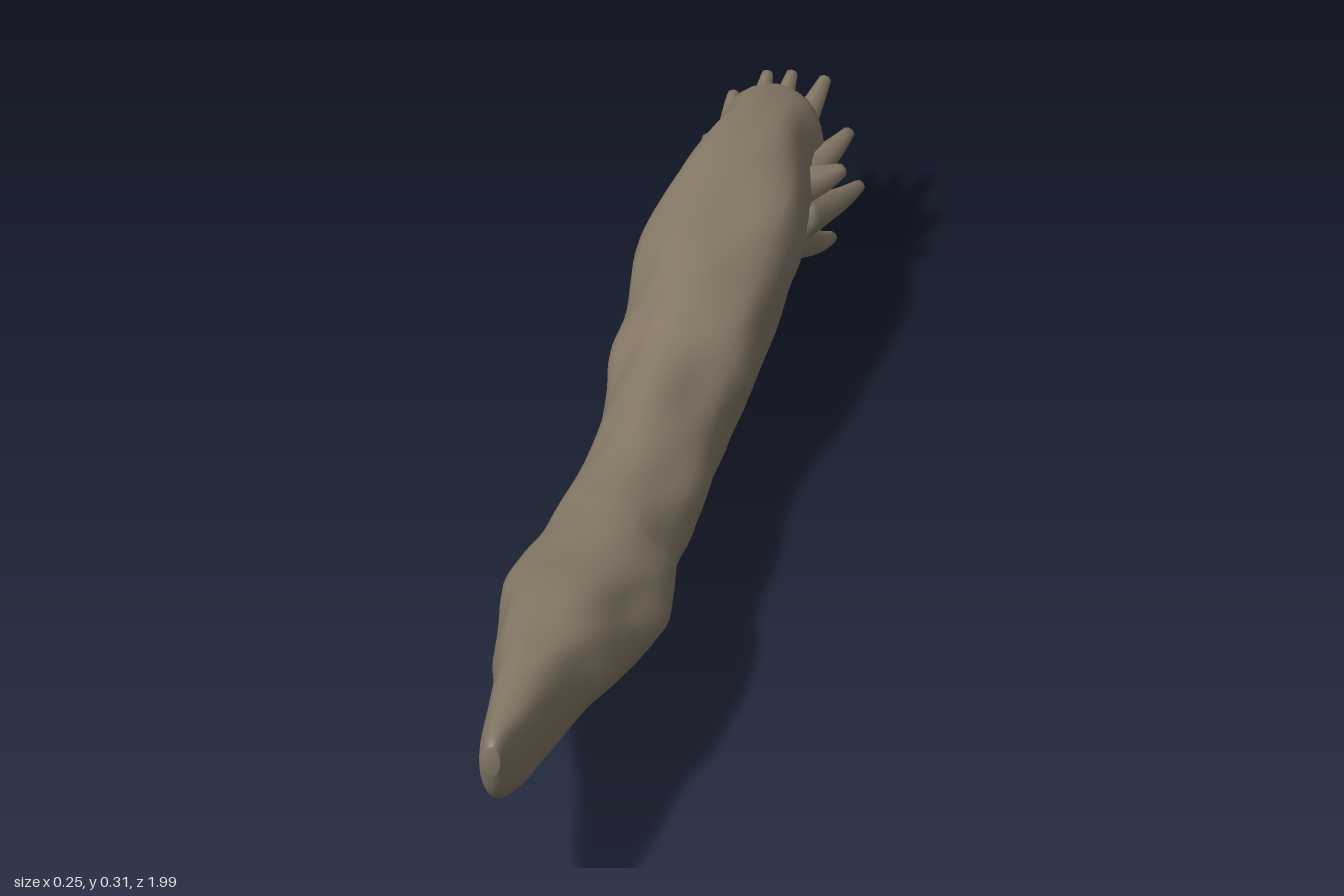
import * as THREE from 'three';

// Trunk stations: z, top, bottom, right side x, left side x, backward lean of the top edge
const STATIONS = [
  [1.0, 0.305, 0.262, -0.012, 0.012, 0],
  [0.975, 0.315, 0.21, -0.022, 0.022, 0],
  [0.9, 0.312, 0.175, -0.037, 0.037, 0],
  [0.8, 0.306, 0.153, -0.05, 0.05, 0],
  [0.7, 0.302, 0.14, -0.062, 0.064, 0],
  [0.6, 0.294, 0.13, -0.085, 0.09, 0],
  [0.5, 0.28, 0.112, -0.104, 0.105, 0],
  [0.4, 0.265, 0.095, -0.115, 0.115, 0],
  [0.3, 0.25, 0.083, -0.112, 0.112, 0],
  [0.2, 0.238, 0.073, -0.092, 0.097, 0],
  [0.0, 0.225, 0.05, -0.087, 0.09, 0],
  [-0.2, 0.235, 0.06, -0.092, 0.085, 0],
  [-0.3, 0.253, 0.076, -0.108, 0.1, 0],
  [-0.4, 0.268, 0.092, -0.103, 0.102, 0],
  [-0.5, 0.28, 0.105, -0.113, 0.103, 0],
  [-0.6, 0.286, 0.11, -0.12, 0.102, 0.01],
  [-0.7, 0.288, 0.1, -0.1, 0.088, 0.03],
  [-0.77, 0.288, 0.075, -0.078, 0.074, 0.055],
  [-0.83, 0.275, 0.058, -0.085, 0.083, 0.06],
  [-0.845, 0.255, 0.075, -0.07, 0.07, 0.055],
  [-0.825, 0.225, 0.11, -0.04, 0.04, 0.03],
];

// Root tips: x, y, z, base thickness
const ROOTS = [
  [-0.09, 0.03, -0.85, 0.026],
  [-0.045, 0.02, -0.93, 0.024],
  [-0.01, 0.008, -0.87, 0.028],
  [0.035, 0.032, -0.95, 0.024],
  [0.075, 0.026, -0.9, 0.026],
  [0.092, 0.075, -0.95, 0.024],
  [0.115, 0.115, -0.9, 0.026],
  [0.112, 0.195, -0.81, 0.026],
  [0.1, 0.2, -0.9, 0.026],
  [0.05, 0.235, -0.975, 0.026],
  [0.005, 0.245, -0.965, 0.024],
  [-0.03, 0.24, -0.965, 0.024],
  [-0.075, 0.21, -0.95, 0.026],
  [-0.092, 0.19, -0.86, 0.026],
  [-0.092, 0.1, -0.9, 0.028],
  [-0.075, 0.11, -0.99, 0.018],
  [0.02, 0.12, -0.955, 0.024],
  [-0.02, 0.165, -0.92, 0.024],
];

// Smooth value of one station column
function sample(t, column) {
  const n = STATIONS.length - 1;
  const i = Math.min(Math.floor(t), n - 1);
  const f = t - i;
  const p = (k) => STATIONS[Math.max(0, Math.min(n, k))][column];
  const a = p(i - 1), b = p(i), c = p(i + 1), d = p(i + 2);
  return b + 0.5 * f * (c - a + f * (2 * a - 5 * b + 4 * c - d + f * (3 * (b - c) + d - a)));
}

// Closed loft through rings of points, capped at both ends
function loft(rings, startPoint, endPoint) {
  const sides = rings[0].length;
  const positions = [];
  const index = [];
  rings.forEach((ring) => ring.forEach((p) => positions.push(...p)));
  for (let i = 0; i < rings.length - 1; i++) {
    for (let j = 0; j < sides; j++) {
      const k = (j + 1) % sides;
      const a = i * sides + j, b = i * sides + k;
      index.push(a, a + sides, b, b, a + sides, b + sides);
    }
  }
  const start = positions.length / 3;
  const last = (rings.length - 1) * sides;
  positions.push(...startPoint, ...endPoint);
  for (let j = 0; j < sides; j++) {
    const k = (j + 1) % sides;
    index.push(start, j, k, start + 1, last + k, last + j);
  }
  const geometry = new THREE.BufferGeometry();
  geometry.setAttribute('position', new THREE.Float32BufferAttribute(positions, 3));
  geometry.setIndex(index);
  geometry.computeVertexNormals();
  return geometry;
}

// Gnarled trunk with gentle twisting ridges
function trunkGeometry() {
  const rings = [];
  const steps = 100, sides = 32;
  for (let i = 0; i <= steps; i++) {
    const t = (i / steps) * (STATIONS.length - 1);
    const [z, top, bottom, right, left, lean] = [0, 1, 2, 3, 4, 5].map((c) => sample(t, c));
    const cy = (top + bottom) / 2, ry = (top - bottom) / 2;
    const cx = (left + right) / 2, rx = (left - right) / 2;
    const rough = Math.min(1, rx / 0.09);
    const ring = [];
    for (let j = 0; j < sides; j++) {
      const a = (j / sides) * Math.PI * 2;
      const bump = 1 + rough * (0.035 * Math.sin(5 * a + 4 * z)
        + 0.03 * Math.sin(3 * a - 9 * z + 1)
        + 0.025 * Math.sin(2 * a + 21 * z)
        + 0.015 * Math.sin(7 * a - 26 * z));
      ring.push([cx + rx * bump * Math.cos(a), cy + ry * bump * Math.sin(a), z - lean * Math.sin(a)]);
    }
    rings.push(ring);
  }
  return loft(rings, [0, 0.285, 1.0], [0, 0.168, -0.82]);
}

// Blunt tapering root that bends out from the trunk end
function rootGeometry([x, y, z, thickness]) {
  const tip = new THREE.Vector3(x, y, z);
  const base = new THREE.Vector3(x * 0.5, 0.17 + (y - 0.17) * 0.45, -0.75 - Math.max(0, y - 0.15) * 0.6);
  const bend = base.clone().lerp(tip, 0.5);
  bend.x += x * 0.1;
  bend.y += (y - 0.17) * 0.08;
  const curve = new THREE.QuadraticBezierCurve3(base, bend, tip);
  const rings = [];
  const steps = 8, sides = 8;
  for (let i = 0; i <= steps; i++) {
    const t = i / steps;
    const centre = curve.getPoint(t);
    const along = curve.getTangent(t);
    const u = new THREE.Vector3(0, 1, 0).cross(along).normalize();
    const v = along.clone().cross(u);
    const r = thickness * (1.15 - 0.8 * t);
    const ring = [];
    for (let j = 0; j < sides; j++) {
      const a = (j / sides) * Math.PI * 2;
      ring.push(centre.clone()
        .addScaledVector(u, -r * Math.cos(a))
        .addScaledVector(v, r * Math.sin(a)).toArray());
    }
    rings.push(ring);
  }
  return loft(rings, base.toArray(), tip.toArray());
}

export function createModel() {
  const bark = new THREE.MeshStandardMaterial({ color: 0x857866 });
  bark.name = 'bark';
  const model = new THREE.Group();
  model.name = 'log';

  const trunk = new THREE.Mesh(trunkGeometry(), bark);
  trunk.name = 'trunk';
  model.add(trunk);

  const roots = new THREE.Group();
  roots.name = 'roots';
  ROOTS.forEach((spec, i) => {
    const root = new THREE.Mesh(rootGeometry(spec), bark);
    root.name = `root${i + 1}`;
    roots.add(root);
  });
  model.add(roots);
  return model;
}
